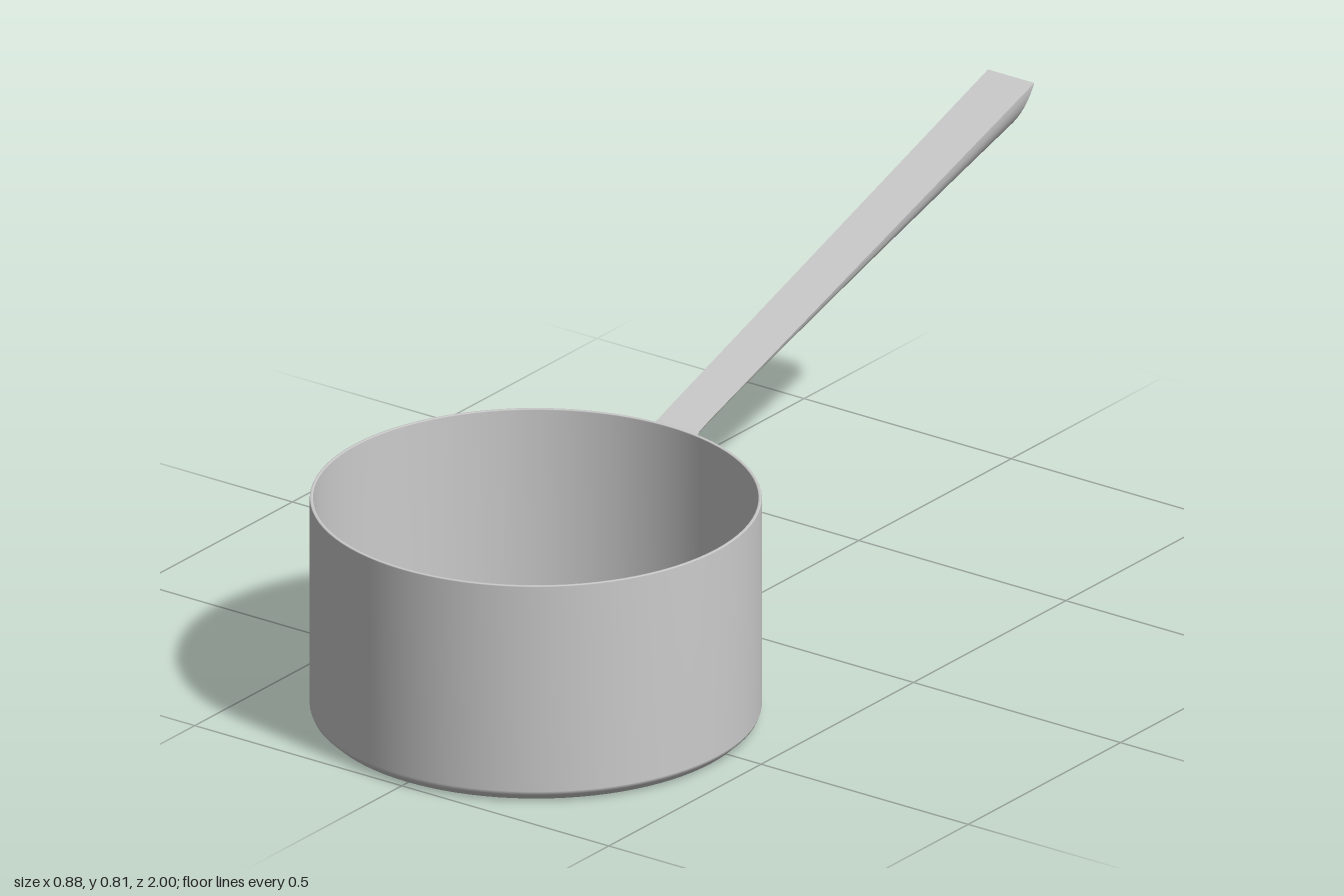
import * as THREE from 'three';
import { toCreasedNormals } from 'three/addons/utils/BufferGeometryUtils.js';

const POT_Z = 0.56, POT_R = 0.44;
const material = new THREE.MeshStandardMaterial({ color: 0xcccccc, side: THREE.DoubleSide });

// Skin a row of closed rings, each an array of [x, y, z]
function loft(rings, crease) {
  const n = rings[0].length, index = [];
  for (let i = 0; i < rings.length - 1; i++) {
    for (let k = 0; k < n; k++) {
      const a = i * n + k, b = i * n + (k + 1) % n;
      index.push(a, b, a + n, b, b + n, a + n);
    }
  }
  const geometry = new THREE.BufferGeometry();
  geometry.setAttribute('position', new THREE.Float32BufferAttribute(rings.flat(2), 3));
  geometry.setIndex(index);
  return toCreasedNormals(geometry, crease);
}

// Point on a cylinder around the pot axis; angle 0 is the back
function aroundPot(angle, radius, y) {
  return [radius * Math.sin(angle), y, POT_Z - radius * Math.cos(angle)];
}

function addMesh(group, name, geometry) {
  const mesh = new THREE.Mesh(geometry, material);
  mesh.name = name;
  group.add(mesh);
  return mesh;
}

// Thin-walled pot with a small bevel round the base
function potGeometry() {
  const profile = [
    [0, 0], [0.415, 0], [0.422, 0.002], [0.437, 0.016], [POT_R, 0.024],
    [POT_R, 0.457], [0.439, 0.459], [0.434, 0.459], [0.433, 0.457],
    [0.433, 0.028], [0.43, 0.02], [0.418, 0.009], [0.41, 0.008], [0, 0.008],
  ].map(([r, y]) => new THREE.Vector2(r, y));
  return new THREE.LatheGeometry(profile, 96);
}

// Hollow handle: flat on top, half round below, cut obliquely at the tip
function handleGeometry() {
  // half width, top z, top y, bottom z, bottom y
  const sections = [
    [0.075, 0.125, 0.432, 0.115, 0.37],
    [0.062, 0.115, 0.438, 0.106, 0.4],
    [0.053, 0.105, 0.443, 0.098, 0.422],
    [0.05, 0.09, 0.449, 0.085, 0.434],
    [0.05, 0.06, 0.46, 0.06, 0.444],
    [0.053, -0.47, 0.635, -0.445, 0.58],
    [0.056, -1, 0.81, -0.95, 0.715],
  ];
  const steps = 24;
  return loft(sections.map(([w, tz, ty, bz, by]) => {
    const ring = [];
    for (let k = 0; k <= steps; k++) {
      const a = Math.PI * k / steps, t = Math.sin(a);
      ring.push([w * Math.cos(a), ty + (by - ty) * t, tz + (bz - tz) * t]);
    }
    return ring;
  }), 0.7);
}

// Mounting plate wrapped round the back of the pot, with rounded ends
function plateGeometry() {
  const half = 0.475, corner = 0.035, steps = 48, inner = 0.438, outer = 0.453;
  const ring = (angle, ri, ro) => {
    const t = Math.abs(angle) / half;
    const d = Math.min(corner, (half - Math.abs(angle)) * outer);
    const round = corner - Math.sqrt(Math.max(0, corner ** 2 - (corner - d) ** 2));
    const top = 0.412 + 0.022 * Math.exp(-((angle / 0.16) ** 4)) - round;
    const bottom = 0.295 + 0.012 * t * t + round;
    return [
      aroundPot(angle, ro, bottom), aroundPot(angle, ro, top),
      aroundPot(angle, ri, top), aroundPot(angle, ri, bottom),
    ];
  };
  const rings = [ring(-half, inner, inner)];
  for (let i = 0; i <= steps; i++) {
    rings.push(ring(-half * Math.cos(Math.PI * i / steps), inner, outer));
  }
  rings.push(ring(half, inner, inner));
  return loft(rings, 0.6);
}

export function createModel() {
  const group = new THREE.Group();
  group.name = 'saucepan';

  addMesh(group, 'pot', potGeometry()).position.z = POT_Z;
  addMesh(group, 'handle', handleGeometry());
  addMesh(group, 'mountingPlate', plateGeometry());

  // Domed rivets on either side of the handle
  const dome = new THREE.SphereGeometry(0.021, 20, 10, 0, Math.PI * 2, 0, Math.PI / 2);
  dome.scale(1, 0.8, 1).rotateX(-Math.PI / 2);
  for (const side of [-1, 1]) {
    const angle = side * 0.31;
    const rivet = addMesh(group, side > 0 ? 'leftRivet' : 'rightRivet', dome);
    rivet.position.set(...aroundPot(angle, 0.452, 0.343));
    rivet.rotation.y = -angle;
  }
  return group;
}
